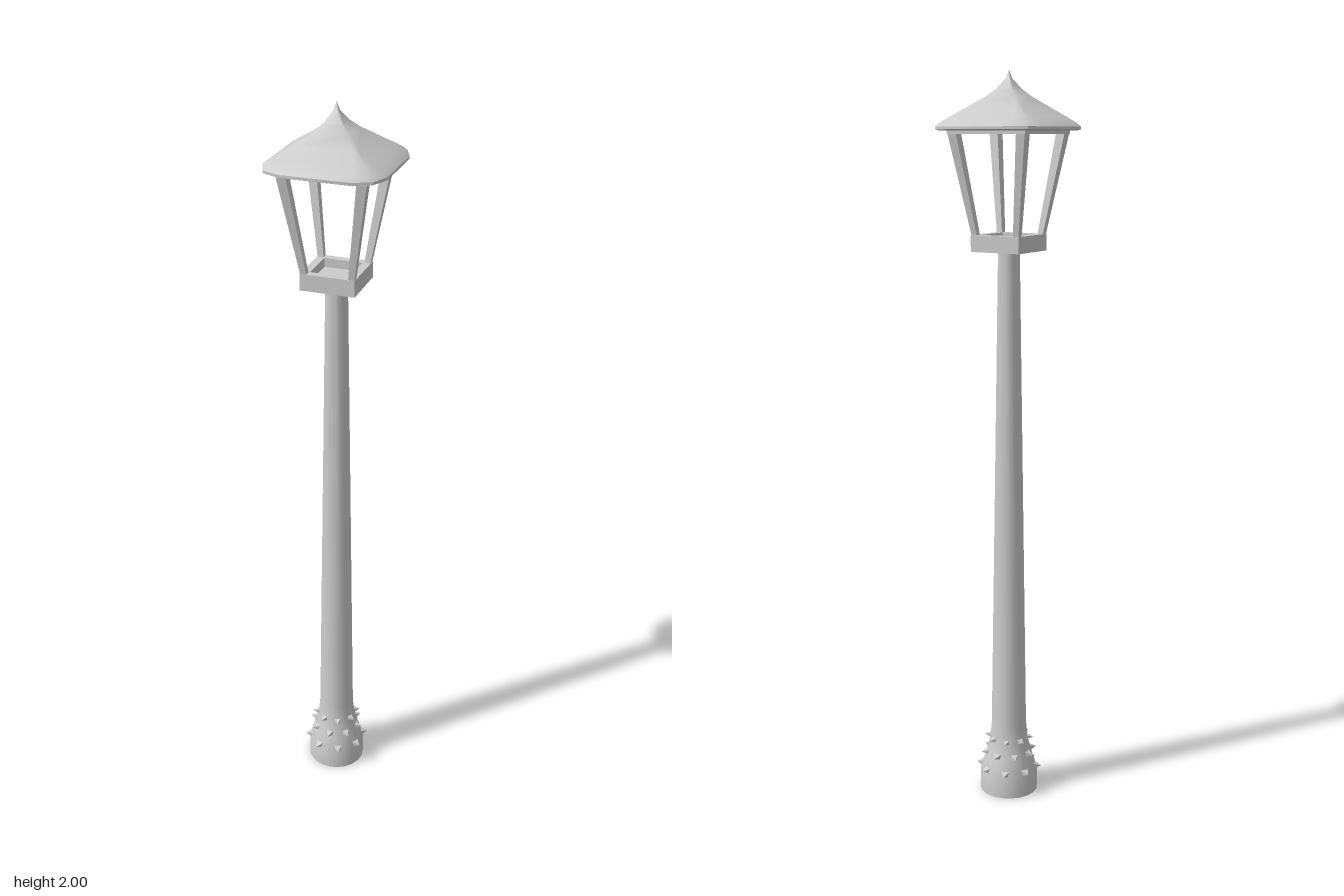
import * as THREE from 'three';
import { toCreasedNormals } from 'three/addons/utils/BufferGeometryUtils.js';

const material = new THREE.MeshStandardMaterial({ color: 0xcccccc });

function part(name, geometry, parent) {
  const mesh = new THREE.Mesh(geometry, material);
  mesh.name = name;
  parent.add(mesh);
  return mesh;
}

// Square ring lying flat, from y0 to y1
function squareFrame(outer, inner, y0, y1) {
  const square = (path, r) => path.moveTo(-r, -r).lineTo(r, -r).lineTo(r, r).lineTo(-r, r).closePath();
  const shape = square(new THREE.Shape(), outer);
  shape.holes.push(square(new THREE.Path(), inner));
  return new THREE.ExtrudeGeometry(shape, { depth: y1 - y0, bevelEnabled: false })
    .rotateX(-Math.PI / 2).translate(0, y0, 0);
}

// Loft of square rings with cut corners; each ring is [half width, y, straight share of the side]
function squareLoft(rings) {
  const positions = [], index = [], n = 12;
  for (const [r, y, c] of rings) {
    const m = 0.7 + 0.3 * c;
    for (let q = 0; q < 4; q++) {
      const cos = Math.round(Math.cos(q * Math.PI / 2)), sin = Math.round(Math.sin(q * Math.PI / 2));
      for (const [x, z] of [[1, c], [m, m], [c, 1]]) {
        positions.push(r * (x * cos - z * sin), y, r * (x * sin + z * cos));
      }
    }
  }
  for (let i = 0; i < rings.length - 1; i++) {
    for (let j = 0; j < n; j++) {
      const a = i * n + j, b = i * n + (j + 1) % n;
      index.push(a, a + n, b, b, a + n, b + n);
    }
  }
  const geometry = new THREE.BufferGeometry();
  geometry.setAttribute('position', new THREE.Float32BufferAttribute(positions, 3));
  geometry.setIndex(index);
  return toCreasedNormals(geometry, 0.75);
}

export function createModel() {
  const model = new THREE.Group();
  model.name = 'streetLamp';

  // Pole with its flared foot
  const profile = [[0, 0], [0.081, 0], [0.081, 0.06], [0.066, 0.105], [0.054, 0.15], [0.049, 0.2], [0.029, 1.54]]
    .map(([x, y]) => new THREE.Vector2(x, y));
  part('pole', toCreasedNormals(new THREE.LatheGeometry(profile, 20), 0.6), model);

  // Three staggered rings of pyramid studs on the foot
  const studs = new THREE.Group();
  studs.name = 'studs';
  model.add(studs);
  const studShape = new THREE.ConeGeometry(0.7071, 1, 4, 1).rotateY(Math.PI / 4).rotateX(Math.PI / 2).toNonIndexed();
  studShape.computeVertexNormals();
  [[0.07, 0.076, 0.03], [0.115, 0.063, 0.027], [0.157, 0.053, 0.023]].forEach(([y, r, size], row) => {
    for (let i = 0; i < 8; i++) {
      const angle = (i + (row % 2 ? 0 : 0.5)) * Math.PI / 4;
      const stud = part('stud', studShape, studs);
      stud.scale.set(size, size * 0.75, 0.026);
      stud.position.set(Math.sin(angle) * (r + 0.004), y, Math.cos(angle) * (r + 0.004));
      stud.rotation.y = angle;
    }
  });

  // Lantern tray
  const lantern = new THREE.Group();
  lantern.name = 'lantern';
  model.add(lantern);
  part('trayFloor', new THREE.BoxGeometry(0.146, 0.02, 0.146).translate(0, 1.546, 0), lantern);
  part('trayRim', squareFrame(0.073, 0.052, 1.556, 1.58), lantern);

  // Four leaning corner posts, thicker at the top
  const [y0, y1] = [1.57, 1.85];
  for (const sx of [-1, 1]) {
    for (const sz of [-1, 1]) {
      const post = new THREE.BoxGeometry(1, 1, 1);
      const p = post.attributes.position;
      for (let i = 0; i < p.count; i++) {
        const top = p.getY(i) > 0;
        const centre = top ? 0.104 : 0.062, width = top ? 0.026 : 0.016;
        p.setXYZ(i, sx * centre + p.getX(i) * width, top ? y1 : y0, sz * centre + p.getZ(i) * width);
      }
      post.computeVertexNormals();
      part('cornerPost', post, lantern);
    }
  }
  part('topFrame', squareFrame(0.117, 0.091, 1.838, 1.852), lantern);

  // Hollow roof: inner surface, eave, then the swept outer surface up to the finial
  part('roof', squareLoft([
    [0, 1.925, 0.9], [0.1, 1.862, 0.9], [0.1, 1.85, 0.9],
    [0.15, 1.847, 0.57], [0.158, 1.85, 0.57], [0.158, 1.857, 0.57], [0.146, 1.867, 0.62],
    [0.118, 1.883, 0.75], [0.083, 1.905, 0.88], [0.046, 1.932, 0.9], [0.025, 1.952, 0.9],
    [0.014, 1.968, 0.85], [0.007, 1.978, 0.7], [0, 2, 0.6],
  ]), lantern);

  return model;
}
